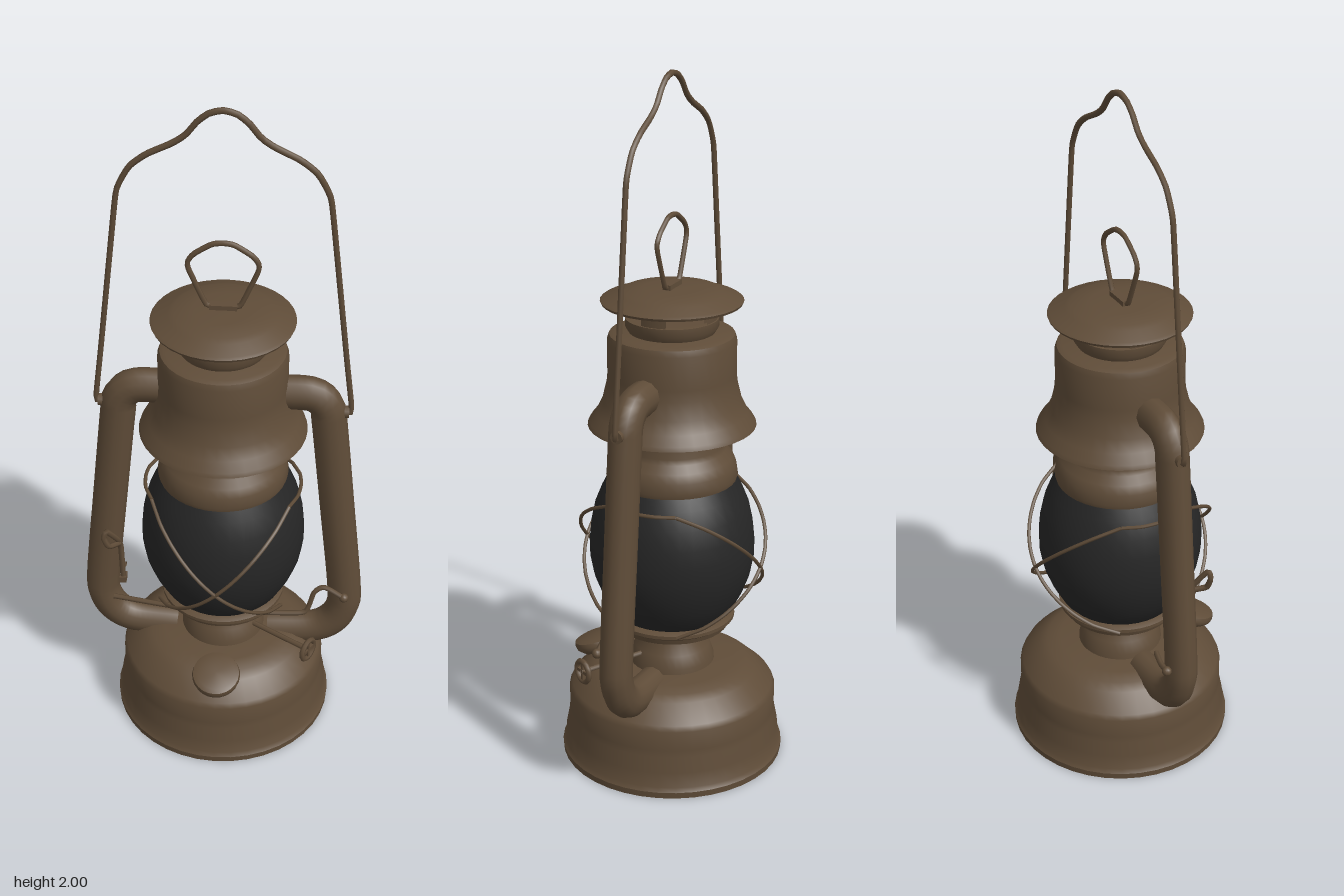
import * as THREE from 'three';
import { toCreasedNormals } from 'three/addons/utils/BufferGeometryUtils.js';

const brown = new THREE.MeshStandardMaterial({ name: 'brownMetal', color: 0x5f4c38, side: THREE.DoubleSide });
const dark = new THREE.MeshStandardMaterial({ name: 'darkGlass', color: 0x262626 });

const V = (p) => new THREE.Vector3(p[0], p[1], p[2] ?? 0);

export function createModel() {
  const model = new THREE.Group();
  model.name = 'lantern';

  const add = (name, geometry, material = brown, parent = model) => {
    const mesh = new THREE.Mesh(geometry, material);
    mesh.name = name;
    parent.add(mesh);
    return mesh;
  };
  // Turned part from [radius, height] pairs, bottom to top
  const turned = (profile, sides = 36, start = 0, length = Math.PI * 2) =>
    toCreasedNormals(new THREE.LatheGeometry(
      profile.map((p) => new THREE.Vector2(p[0], p[1])), sides, start, length), 0.6);
  // Bent wire or pipe through points
  const wire = (points, radius, steps = 48, sides = 6, closed = false, tension = 0.3) =>
    new THREE.TubeGeometry(
      new THREE.CatmullRomCurve3(points.map(V), closed, 'catmullrom', tension), steps, radius, sides, closed);
  const mirrored = (half) => [...half, ...half.slice(0, -1).reverse().map(([x, y, z]) => [-x, y, z])];

  // Fuel tank with flared foot
  add('fuelTank', turned([
    [0, 0.005], [0.325, 0], [0.326, 0.018], [0.318, 0.03], [0.314, 0.075], [0.305, 0.12],
    [0.303, 0.14], [0.303, 0.2], [0.295, 0.215], [0.245, 0.26], [0.22, 0.275], [0.18, 0.283], [0, 0.288],
  ], 40));

  // Burner and globe seat
  add('burnerCone', turned([
    [0.125, 0.27], [0.122, 0.3], [0.11, 0.335], [0.088, 0.37], [0.085, 0.405], [0, 0.405],
  ]));
  add('globeSeat', turned([
    [0, 0.395], [0.12, 0.395], [0.165, 0.405], [0.17, 0.42], [0.182, 0.428], [0.182, 0.438], [0.165, 0.445], [0, 0.445],
  ]));

  // Globe
  const globeProfile = [
    [0.16, 0.44], [0.178, 0.46], [0.205, 0.51], [0.226, 0.565], [0.236, 0.62],
    [0.237, 0.67], [0.232, 0.72], [0.22, 0.775], [0.2, 0.825], [0.18, 0.865],
  ];
  add('globe', turned(globeProfile), dark);

  // Neck and hood above the globe
  add('globeCollar', turned([
    [0, 0.855], [0.183, 0.855], [0.187, 0.87], [0.182, 0.9], [0.172, 0.925], [0.152, 0.945], [0.146, 0.96], [0.146, 1.04],
  ]));
  add('hood', turned([
    [0.146, 1.025], [0.225, 1.018], [0.237, 1.018], [0.232, 1.03], [0.212, 1.055], [0.195, 1.09], [0.183, 1.14],
    [0.18, 1.17], [0.18, 1.265], [0.174, 1.282], [0.16, 1.288], [0, 1.29],
  ]));

  // Vented chimney with four posts
  add('chimneyRing', turned([
    [0.1, 1.28], [0.118, 1.285], [0.13, 1.305], [0.13, 1.328], [0.115, 1.33], [0, 1.31],
  ]));
  for (let i = 0; i < 4; i++) {
    add('chimneyPost', turned([
      [0.116, 1.315], [0.126, 1.315], [0.126, 1.375], [0.116, 1.375], [0.116, 1.315],
    ], 4, i * Math.PI / 2 - 0.29, 0.58));
  }
  add('chimneyCap', turned([
    [0, 1.367], [0.13, 1.365], [0.195, 1.37], [0.198, 1.377], [0.19, 1.382], [0.15, 1.396],
    [0.135, 1.404], [0.08, 1.41], [0, 1.412],
  ]));

  // Lifting ring on the cap
  add('capLug', new THREE.BoxGeometry(0.075, 0.018, 0.024)).position.y = 1.416;
  add('capRing', wire(mirrored([
    [0.035, 1.418], [0.05, 1.43], [0.092, 1.53], [0.093, 1.555], [0.075, 1.578], [0.03, 1.607], [0, 1.612],
  ]), 0.0075, 60, 6, true));

  // Carrying bail
  add('bail', wire(mirrored([
    [0.335, 1.09], [0.352, 1.085], [0.355, 1.11], [0.335, 1.27], [0.283, 1.7], [0.272, 1.765], [0.24, 1.825],
    [0.195, 1.862], [0.13, 1.895], [0.095, 1.92], [0.065, 1.958], [0.035, 1.982], [0, 1.991],
  ]), 0.0085, 110, 6));

  for (const s of [1, -1]) {
    // Side air pipe
    const pipe = wire([
      [s * 0.15, 1.147], [s * 0.23, 1.147], [s * 0.265, 1.135], [s * 0.288, 1.105], [s * 0.297, 1.05],
      [s * 0.33, 0.75], [s * 0.362, 0.45], [s * 0.36, 0.37], [s * 0.33, 0.31], [s * 0.27, 0.275], [s * 0.14, 0.262],
    ], 0.05, 64, 12, false, 0.5);
    pipe.scale(1, 1, 0.9);
    add('sidePipe', pipe);
    // Bail eyelet
    const eyelet = add('bailEyelet', new THREE.CylinderGeometry(0.018, 0.018, 0.05, 10));
    eyelet.rotation.z = Math.PI / 2;
    eyelet.position.set(s * 0.325, 1.09, 0);
  }

  // Guard wires: a bowed cross on the front and on the back, joined round the sides
  const guard = (s, f) => {
    const points = [];
    for (let i = 0; i <= 12; i++) {
      const t = i / 12;
      const x = s * (0.195 - 0.375 * t);
      const y = 0.82 - 0.375 * t;
      const r = 0.205 + 0.063 * Math.sin(Math.PI * t) + 0.015 * (1 - t);
      points.push([x, y, f * Math.sqrt(Math.max(r * r - x * x, 0.0036))]);
    }
    return points;
  };
  for (const s of [1, -1]) {
    for (const f of [1, -1]) add('guardWire', wire(guard(s, f), 0.0055, 40, 5));
    add('guardSideWire', wire([
      [s * 0.195, 0.82, 0.1], [s * 0.218, 0.822, 0.05], [s * 0.224, 0.823, 0],
      [s * 0.218, 0.822, -0.05], [s * 0.195, 0.82, -0.1],
    ], 0.0055, 16, 5));
  }

  // Globe lifting rod, bent up at its end
  add('liftRod', wire([
    [-0.325, 0.395, 0.05], [-0.1, 0.395, 0.085], [0.1, 0.395, 0.085], [0.24, 0.395, 0.075], [0.26, 0.415, 0.07],
    [0.275, 0.47, 0.065], [0.3, 0.488, 0.06], [0.325, 0.475, 0.058], [0.362, 0.45, 0.06],
  ], 0.008, 70));
  add('liftRodTip', new THREE.SphereGeometry(0.014, 10, 8)).position.set(0.363, 0.45, 0.06);

  // Lever with a finger loop, and its pin at the back
  add('lever', wire([
    [-0.295, 0.47, 0.048], [-0.298, 0.6, 0.052], [-0.305, 0.64, 0.07], [-0.33, 0.69, 0.1], [-0.338, 0.67, 0.105],
    [-0.325, 0.635, 0.1], [-0.3, 0.62, 0.065],
  ], 0.0085, 60));
  add('leverFoot', new THREE.BoxGeometry(0.02, 0.02, 0.03)).position.set(-0.295, 0.47, 0.045);
  add('leverPin', wire([[-0.3, 0.44, -0.045], [-0.35, 0.44, -0.058], [-0.395, 0.445, -0.063]], 0.008, 12));
  add('leverPinTip', new THREE.SphereGeometry(0.014, 10, 8)).position.set(-0.393, 0.445, -0.063);

  // Wick shaft and ring knob
  add('wickShaft', wire([[0.06, 0.325, 0.035], [0.16, 0.325, 0.095], [0.27, 0.325, 0.16]], 0.008, 12));
  const knob = new THREE.Group();
  knob.name = 'wickKnob';
  knob.position.set(0.265, 0.325, 0.157);
  knob.rotation.y = 1.04;
  add('wickKnobRing', new THREE.TorusGeometry(0.031, 0.008, 6, 20), brown, knob);
  for (const turn of [0, Math.PI / 2]) {
    add('wickKnobSpoke', new THREE.BoxGeometry(0.06, 0.009, 0.009), brown, knob).rotation.z = turn;
  }
  model.add(knob);

  // Tilted filler cap on the tank shoulder
  const filler = new THREE.Group();
  filler.name = 'filler';
  filler.position.set(0, 0.262, 0.238);
  filler.rotation.x = 0.33;
  add('fillerNeck', turned([[0.045, -0.06], [0.045, 0.005]], 20), brown, filler);
  add('fillerCap', turned([
    [0, 0], [0.055, 0], [0.068, 0.012], [0.071, 0.025], [0.068, 0.036], [0.055, 0.041], [0, 0.043],
  ], 24), brown, filler);
  model.add(filler);

  return model;
}
